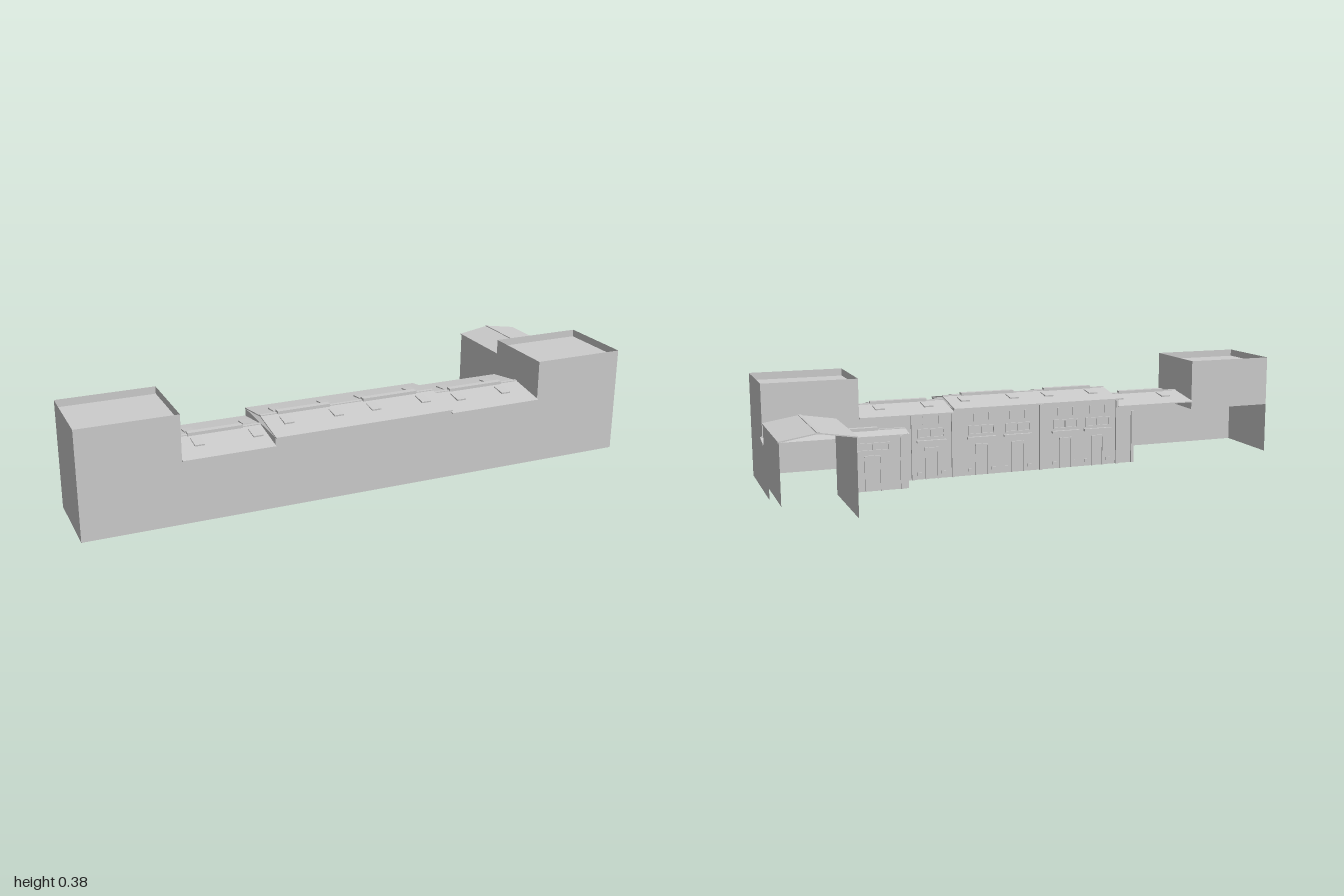
import * as THREE from 'three';

const grey = new THREE.MeshStandardMaterial({ color: 0xcccccc, side: THREE.DoubleSide });
grey.name = 'plain grey';

export function createModel() {
  const root = new THREE.Group();
  root.name = 'streetBlock';

  const add = (name, geo, parent = root) => {
    const m = new THREE.Mesh(geo, grey);
    m.name = name;
    parent.add(m);
    return m;
  };
  // box given by its limits on each axis
  const box = (name, x0, x1, y0, y1, z0, z1, parent) => {
    const g = new THREE.BoxGeometry(x1 - x0, y1 - y0, z1 - z0);
    g.translate((x0 + x1) / 2, (y0 + y1) / 2, (z0 + z1) / 2);
    return add(name, g, parent);
  };
  // thin sheets: facing z, facing x, facing up
  const sheet = (name, pts, parent) => {
    const g = new THREE.BufferGeometry();
    g.setAttribute('position', new THREE.Float32BufferAttribute(pts.flat(), 3));
    g.setIndex([0, 1, 2, 0, 2, 3]);
    g.computeVertexNormals();
    return add(name, g, parent);
  };
  const wallZ = (name, x0, x1, y0, y1, z, dir = 1, parent) => {
    const [a, b] = dir > 0 ? [x0, x1] : [x1, x0];
    return sheet(name, [[a, y0, z], [b, y0, z], [b, y1, z], [a, y1, z]], parent);
  };
  const wallX = (name, x, y0, y1, z0, z1, dir = 1, parent) => {
    const [a, b] = dir > 0 ? [z1, z0] : [z0, z1];
    return sheet(name, [[x, y0, a], [x, y0, b], [x, y1, b], [x, y1, a]], parent);
  };
  const floor = (name, x0, x1, y, z0, z1, parent) =>
    sheet(name, [[x0, y, z1], [x1, y, z1], [x1, y, z0], [x0, y, z0]], parent);

  // thin chevron roof; a..b is the span across, length runs along the ridge
  const chevron = (a, b, eave, ridge, length) => {
    const t = 0.004, m = (a + b) / 2;
    const s = new THREE.Shape([
      [a, eave], [m, ridge], [b, eave], [b, eave - t], [m, ridge - t], [a, eave - t],
    ].map(p => new THREE.Vector2(...p)));
    return new THREE.ExtrudeGeometry(s, { depth: length, bevelEnabled: false });
  };
  const roofAlongX = (name, x0, x1, z0, z1, eave, ridge, parent) => {
    const g = chevron(-z1, -z0, eave, ridge, x1 - x0);
    g.rotateY(Math.PI / 2);
    g.translate(x0, 0, 0);
    return add(name, g, parent);
  };

  // corner towers with a sunken flat roof
  const tower = (name, x0, x1, outerLeft) => {
    const g = new THREE.Group();
    g.name = name;
    root.add(g);
    wallZ('towerFront', x0, x1, 0, 0.378, 0.364, 1, g);
    wallZ('towerBack', x0, x1, 0.19, 0.378, 0.08, -1, g);
    wallX('towerSideRight', x0, outerLeft ? 0.19 : 0, 0.378, 0.08, 0.364, -1, g);
    wallX('towerSideLeft', x1, outerLeft ? 0 : 0.19, 0.378, 0.08, 0.364, 1, g);
    floor('towerRoof', x0, x1, 0.352, 0.08, 0.36, g);
  };
  tower('rightTower', -0.995, -0.66, false);
  tower('leftTower', 0.65, 0.985, true);

  // terrace between the towers: x range, eave height, ridge cap, roof lights
  const bays = [
    { x0: -0.66, x1: -0.345, eave: 0.223, caps: [[-0.6, -0.41]], lights: [-0.58, -0.38] },
    { x0: -0.345, x1: 0.305, eave: 0.252, caps: [[-0.285, -0.095], [0.03, 0.235]], lights: [-0.27, -0.09, 0.05, 0.24] },
    { x0: 0.305, x1: 0.65, eave: 0.24, caps: [[0.37, 0.58]], lights: [0.38, 0.56] },
  ];
  for (const { x0, x1, eave, caps, lights } of bays) {
    const ridge = eave + 0.024;
    wallZ('frontWall', x0, x1, 0, eave - 0.002, 0.364);
    roofAlongX('terraceRoof', x0, x1, 0.068, 0.373, eave, ridge);
    box('ridgeTrim', x0, x1, ridge - 0.003, ridge + 0.002, 0.214, 0.226);
    for (const [a, b] of caps) box('ridgeVent', a, b, ridge - 0.002, ridge + 0.009, 0.209, 0.231);
    // roof lights lie on both slopes
    for (const x of lights) for (const side of [-1, 1]) {
      const m = add('roofLight', new THREE.BoxGeometry(0.034, 0.006, 0.055));
      m.position.set(x, ridge - 0.0075, 0.2205 + side * 0.052);
      m.rotation.x = side * 0.11;
    }
  }
  // gable steps where the roofs change height
  wallX('roofStep', -0.345, 0.223, 0.25, 0.075, 0.364, -1);
  wallX('roofStep', 0.305, 0.238, 0.25, 0.075, 0.364, 1);

  // rear facade
  const facade = new THREE.Group();
  facade.name = 'rearFacade';
  root.add(facade);
  const Z = 0.08;
  wallZ('facadeWall', -0.41, -0.345, 0, 0.22, Z, -1, facade);
  wallZ('facadeWall', -0.345, 0.305, 0, 0.249, Z, -1, facade);
  wallZ('facadeWall', 0.305, 0.5, 0, 0.237, Z, -1, facade);
  wallZ('facadeWall', 0.5, 0.65, 0.19, 0.237, Z, -1, facade);
  for (const [x, h] of [[-0.405, 0.2], [-0.34, 0.245], [-0.03, 0.245], [0.31, 0.235], [0.46, 0.235]])
    box('pilaster', x - 0.005, x + 0.005, 0, h, Z - 0.008, Z, facade);

  // framed window, facing back
  const windowFrame = (x0, x1, y0, y1, z) => {
    const t = 0.005;
    box('windowFrame', x0, x1, y0, y0 + t, z - 0.006, z, facade);
    box('windowFrame', x0, x1, y1 - t, y1, z - 0.006, z, facade);
    for (const x of [x0, x1 - t, (x0 + x1 - t) / 2])
      box('windowFrame', x, x + t, y0, y1, z - 0.006, z, facade);
  };
  const doorway = (x, z, w = 0.05, h = 0.11) => {
    box('doorPost', x - w / 2, x - w / 2 + 0.005, 0, h, z - 0.005, z, facade);
    box('doorPost', x + w / 2 - 0.005, x + w / 2, 0, h, z - 0.005, z, facade);
    box('doorHead', x - w / 2, x + w / 2, h, h + 0.006, z - 0.007, z, facade);
  };
  for (const x of [-0.26, -0.13, 0.06, 0.2, 0.39]) {
    windowFrame(x - 0.05, x + 0.05, 0.15, 0.185, Z);
    box('awning', x - 0.055, x + 0.055, 0.135, 0.143, Z - 0.012, Z, facade);
    doorway(x, Z);
    for (const d of [-0.03, 0.03]) box('wallStrip', x + d - 0.002, x + d + 0.002, 0.2, 0.23, Z - 0.005, Z, facade);
    for (const d of [-0.045, 0.045]) box('baseVent', x + d - 0.008, x + d + 0.008, 0.015, 0.027, Z - 0.004, Z, facade);
  }

  // low annex behind the left tower
  roofAlongX('annexRoof', 0.5, 1, -0.036, 0.08, 0.193, 0.204);
  box('annexRidgeTrim', 0.5, 1, 0.202, 0.206, 0.017, 0.027);
  box('annexRidgeVent', 0.6, 0.89, 0.203, 0.214, 0.012, 0.032);
  wallZ('annexBack', 0.505, 0.755, 0, 0.19, -0.033, -1);
  wallX('annexSide', 0.505, 0, 0.195, -0.033, 0.08, -1);
  wallX('annexOuterSide', 0.985, 0, 0.193, -0.033, 0.08, 1);
  doorway(0.63, -0.033, 0.06, 0.12);
  windowFrame(0.57, 0.69, 0.14, 0.17, -0.033);
  for (const x of [0.53, 0.73]) box('annexPilaster', x - 0.004, x + 0.004, 0, 0.188, -0.039, -0.033);
  for (const y of [0.08, 0.15]) box('sideWindowFrame', 0.5, 0.505, y, y + 0.005, 0, 0.05);
  for (const z of [0, 0.045]) box('sideWindowFrame', 0.5, 0.505, 0.08, 0.155, z, z + 0.005);

  // rear wing, open at its ends
  const wingRoof = chevron(0.753, 1, 0.263, 0.283, 0.34);
  wingRoof.translate(0, 0, -0.375);
  add('wingRoof', wingRoof);
  box('wingRidgeTrim', 0.871, 0.881, 0.281, 0.285, -0.375, -0.035);
  wallX('wingInnerWall', 0.757, 0, 0.261, -0.375, -0.035, -1);
  wallX('wingOuterWall', 0.997, 0.06, 0.261, -0.375, -0.035, 1);

  return root;
}
